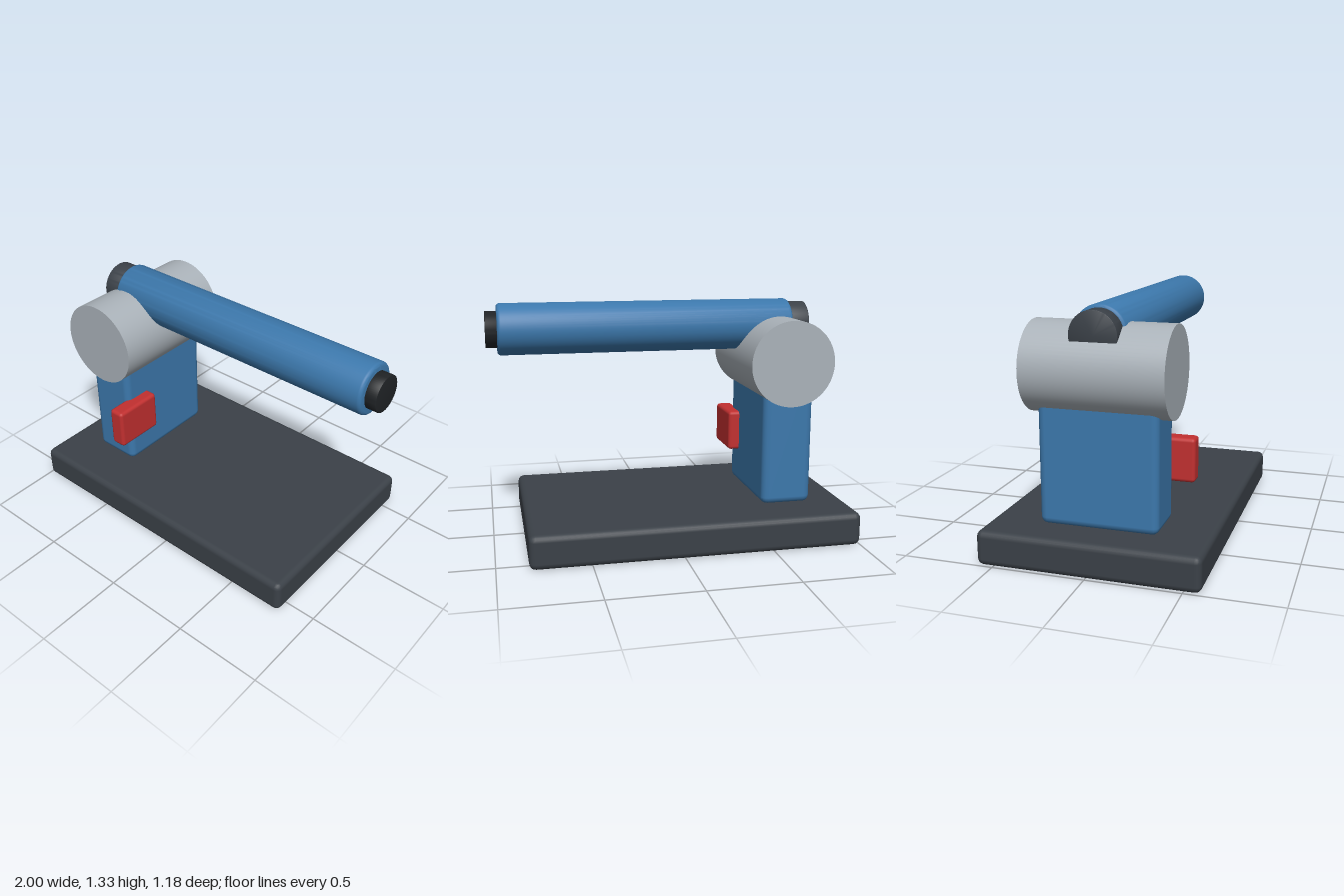
import * as THREE from 'three';
import { RoundedBoxGeometry } from 'three/addons/geometries/RoundedBoxGeometry.js';
import { toCreasedNormals } from 'three/addons/utils/BufferGeometryUtils.js';

const paint = (color) => new THREE.MeshStandardMaterial({ color });

export function createModel() {
  const model = new THREE.Group();
  const blue = paint(0x3c78ac), slate = paint(0x3b4148), black = paint(0x202326);
  const red = paint(0xc23030), silver = paint(0xaab2b9);

  function add(name, geometry, material) {
    const mesh = new THREE.Mesh(geometry, material);
    mesh.name = name;
    model.add(mesh);
    return mesh;
  }

  // rounded box given by its limits on each axis
  function box(name, [x0, x1], [y0, y1], [z0, z1], radius, material) {
    const geometry = new RoundedBoxGeometry(x1 - x0, y1 - y0, z1 - z0, 2, radius);
    add(name, geometry, material).position.set((x0 + x1) / 2, (y0 + y1) / 2, (z0 + z1) / 2);
  }

  // round bar along x on the arm axis, with softened end rims
  const armY = 1.187;
  function bar(name, x0, x1, radius, bevel, material) {
    const points = [new THREE.Vector2(0, x0)];
    for (let i = 0; i <= 4; i++) {
      const a = (i / 4) * Math.PI / 2;
      points.push(new THREE.Vector2(radius - bevel + bevel * Math.sin(a), x0 + bevel - bevel * Math.cos(a)));
    }
    for (let i = 0; i <= 4; i++) {
      const a = (i / 4) * Math.PI / 2;
      points.push(new THREE.Vector2(radius - bevel + bevel * Math.cos(a), x1 - bevel + bevel * Math.sin(a)));
    }
    points.push(new THREE.Vector2(0, x1));
    const geometry = toCreasedNormals(new THREE.LatheGeometry(points, 64), 0.6);
    geometry.rotateZ(-Math.PI / 2);
    add(name, geometry, material).position.y = armY;
  }

  // base plate, upright post and side switch
  box('base', [-1, 0.83], [0, 0.187], [-0.59, 0.59], 0.035, slate);
  box('post', [-0.797, -0.508], [0.18, 0.97], [-0.32, 0.32], 0.04, blue);
  box('switch', [-0.538, -0.443], [0.392, 0.63], [0.15, 0.443], 0.02, red);

  // pivot drum across the top of the post
  const drum = add('pivotDrum', new THREE.CylinderGeometry(0.24, 0.24, 0.752, 72), silver);
  drum.rotation.x = Math.PI / 2;
  drum.position.set(-0.652, 0.998, 0);

  // arm tube with rear cap and front tip
  bar('armTube', -0.732, 0.937, 0.143, 0.02, blue);
  bar('rearCap', -0.832, -0.71, 0.126, 0.003, slate);
  bar('frontTip', 0.92, 1, 0.101, 0.004, black);

  return model;
}
